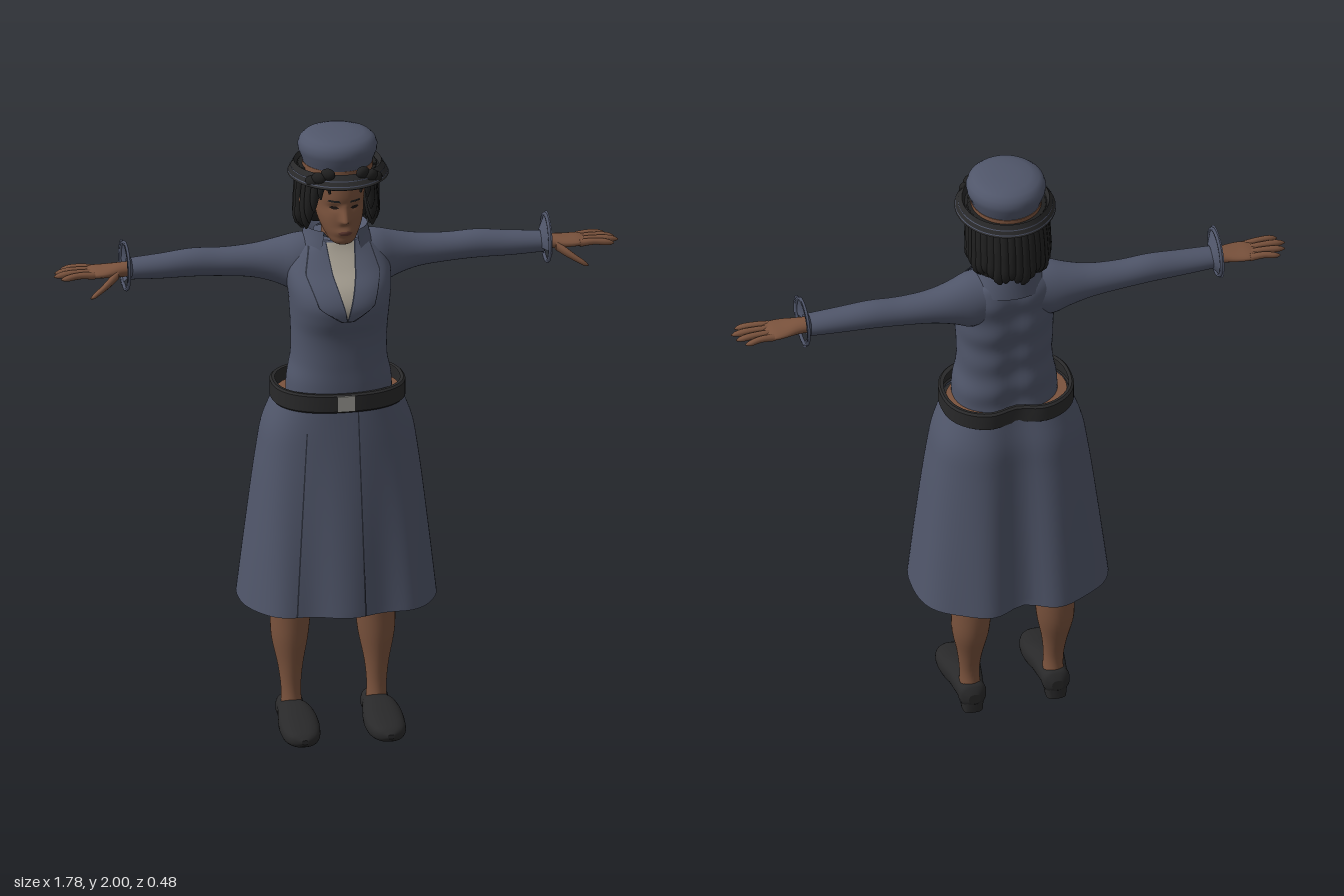
import * as THREE from 'three';
import { toCreasedNormals } from 'three/addons/utils/BufferGeometryUtils.js';

const paint = (name, color, side = THREE.FrontSide) => {
  const m = new THREE.MeshStandardMaterial({ color, side });
  m.name = name;
  return m;
};

// Loft through rows [t, a0, a1, b0, b1]: the bounds of each oval section at height t.
// axis 'y': a = x, b = z.  axis 'x': a = z, b = y.  axis 'z': a = y, b = x.
function loft(rows, { axis = 'y', n = 32, steps = 0, p = 2, arc = null, warp = null, caps = true } = {}) {
  let list = rows;
  const curve = steps ? new THREE.CubicInterpolant(rows.map(r => r[0]), rows.flatMap(r => r.slice(1)), 4) : null;
  const at = t => [t, ...curve.evaluate(t)];
  if (steps) {
    const t0 = rows[0][0], t1 = rows[rows.length - 1][0];
    list = Array.from({ length: steps + 1 }, (_, i) => at(t0 + (t1 - t0) * i / steps));
  }
  const pos = [], idx = [];
  const put = (a, t, b) => {
    if (warp) b = warp(a, t, b);
    pos.push(...(axis === 'y' ? [a, t, b] : axis === 'x' ? [t, b, a] : [b, a, t]));
  };
  const ring = ([t, a0, a1, b0, b1]) => {
    for (let i = 0; i <= n; i++) {
      const [s, e] = arc || [0, 360];
      const q = (s + (e - s) * (arc ? i : i % n) / n) * Math.PI / 180;
      const c = Math.cos(q), d = Math.sin(q), f = 2 / p;
      put((a0 + a1) / 2 + (a1 - a0) / 2 * Math.sign(c) * Math.abs(c) ** f, t,
        (b0 + b1) / 2 + (b1 - b0) / 2 * Math.sign(d) * Math.abs(d) ** f);
    }
  };
  list.forEach(ring);
  const w = n + 1;
  for (let j = 0; j < list.length - 1; j++) for (let i = 0; i < n; i++) {
    const a = j * w + i, nx = arc ? a + 1 : j * w + (i + 1) % n;
    idx.push(a, a + w, nx, nx, a + w, nx + w);
  }
  if (caps && !arc) [list[0], list[list.length - 1]].forEach((r, k) => {
    const s = pos.length / 3;
    ring(r);
    put((r[1] + r[2]) / 2, r[0], (r[3] + r[4]) / 2);
    for (let i = 0; i < n; i++) idx.push(s + n + 1, ...(k ? [s + i + 1, s + i] : [s + i, s + i + 1]));
  });
  let g = new THREE.BufferGeometry();
  g.setAttribute('position', new THREE.Float32BufferAttribute(pos, 3));
  g.setIndex(idx);
  g.computeVertexNormals();
  if (!steps) g = toCreasedNormals(g, 0.6);
  // depth of the front surface, for laying thin plates on it
  g.userData.front = (x, y) => {
    const [, a0, a1, b0, b1] = at(y);
    const u = Math.min(1, Math.abs((x - (a0 + a1) / 2) / ((a1 - a0) / 2)));
    const z = (b0 + b1) / 2 + (b1 - b0) / 2 * (1 - u ** p) ** (1 / p);
    return warp ? warp(x, y, z) : z;
  };
  return g;
}

// Thin plate on a front surface; edges are rows [y, xLeft, xRight].
function plate(base, edges, lift, rows = 24, cols = 8) {
  const g = new THREE.PlaneGeometry(1, 1, cols, rows), P = g.attributes.position;
  const y0 = edges[0][0], y1 = edges[edges.length - 1][0];
  for (let i = 0; i < P.count; i++) {
    const y = y0 + (y1 - y0) * (P.getY(i) + 0.5);
    let k = 0;
    while (k < edges.length - 2 && y > edges[k + 1][0]) k++;
    const A = edges[k], B = edges[k + 1], s = (y - A[0]) / (B[0] - A[0]);
    const l = A[1] + (B[1] - A[1]) * s, r = A[2] + (B[2] - A[2]) * s;
    const x = l + (r - l) * (P.getX(i) + 0.5);
    P.setXYZ(i, x, y, base.userData.front(x, y) + lift);
  }
  g.computeVertexNormals();
  return g;
}

function mirrored(src) {
  const g = src.index ? src.toNonIndexed() : src.clone();
  for (const key of ['position', 'normal']) {
    const A = g.attributes[key];
    for (let i = 0; i < A.count; i += 3) {
      const t = [0, 2, 1].map(k => [-A.getX(i + k), A.getY(i + k), A.getZ(i + k)]);
      t.forEach((v, k) => A.setXYZ(i + k, ...v));
    }
  }
  return g;
}

const sym = rows => rows.map(([y, w, b, f]) => [y, -w, w, b, f]);
const path = rows => rows.map(([t, a, b, r]) => [t, a - r, a + r, b - r, b + r]);

export function createModel() {
  const model = new THREE.Group();
  const cloth = paint('blue grey cloth', 0x50566a, THREE.DoubleSide);
  const seam = paint('dark seam', 0x2c303c, THREE.DoubleSide);
  const skin = paint('brown skin', 0x7b533d);
  const lip = paint('lip', 0x5e3830);
  const hair = paint('black hair', 0x1f1f1f, THREE.DoubleSide);
  const leather = paint('black leather', 0x29292a, THREE.DoubleSide);
  const shirt = paint('pale shirt', 0xa69f92, THREE.DoubleSide);
  const metal = paint('buckle metal', 0x9a9994);
  const eye = paint('dark eye', 0x1c1512);
  const add = (name, g, m) => {
    const mesh = new THREE.Mesh(g, m);
    mesh.name = name;
    model.add(mesh);
  };
  const pair = (name, g, m) => { add(name + 'Left', g, m); add(name + 'Right', mirrored(g), m); };

  // Jacket body
  const torso = loft(sym([[1.13, .165, -.1, .155], [1.2, .163, -.1, .155], [1.26, .151, -.1, .154], [1.36, .15, -.1, .16],
    [1.42, .154, -.108, .178], [1.47, .158, -.11, .184], [1.52, .163, -.113, .16], [1.57, .16, -.115, .11],
    [1.62, .13, -.112, .07], [1.65, .085, -.1, .055]]), {
    n: 64, steps: 44, p: 2.3,
    warp: (x, y, z) => z < 0 ? z + .012 * Math.exp(-((x / .04) ** 2)) + .003 * Math.sin(y * 55 + x * 9) : z
  });
  add('jacket', torso, cloth);
  add('shirtFront', plate(torso, [[1.43, -.004, .004], [1.56, -.042, .042], [1.645, -.05, .05]], .004), shirt);
  pair('lapelEdge', plate(torso, [[1.425, -.002, .02], [1.47, .008, .088], [1.56, .034, .119], [1.648, .044, .094]], .005), seam);
  pair('lapel', plate(torso, [[1.428, .001, .016], [1.47, .012, .084], [1.56, .038, .115], [1.648, .048, .09]], .009), cloth);
  add('collar', loft(sym([[1.6, .13, -.122, .09], [1.65, .105, -.116, .078], [1.682, .098, -.112, .072], [1.66, .07, -.09, .06]]),
    { n: 40, arc: [122, 418] }), cloth);

  // Sleeves and turned cuffs
  pair('sleeve', loft([[.07, -.1, .05, 1.48, 1.655], [.13, -.103, .05, 1.465, 1.65], [.18, -.1, .03, 1.488, 1.636],
    [.25, -.094, .012, 1.51, 1.62], [.35, -.088, .004, 1.522, 1.613], [.45, -.084, .004, 1.528, 1.617],
    [.55, -.078, .006, 1.53, 1.608], [.655, -.073, .006, 1.535, 1.6]], { axis: 'x', steps: 30 }), cloth);
  pair('cuff', loft([[.645, -.07, .005, 1.535, 1.605], [.662, -.095, .04, 1.515, 1.645], [.67, -.112, .056, 1.498, 1.664]],
    { axis: 'x', arc: [-20, 250] }), cloth);
  pair('cuffLoop', new THREE.TorusGeometry(.074, .006, 6, 32).rotateY(Math.PI / 2).translate(.664, 1.58, -.028), cloth);

  // Hands
  pair('palm', loft([[.63, -.06, -.006, 1.543, 1.592], [.68, -.062, .002, 1.546, 1.59], [.73, -.075, .016, 1.55, 1.584],
    [.77, -.078, .014, 1.553, 1.58], [.79, -.07, .005, 1.558, 1.574]], { axis: 'x', n: 20, steps: 12 }), skin);
  [.86, .882, .89, .872].forEach((tip, i) => {
    const z = -.066 + i * .023, s = (i - 1.5) * .006;
    pair('finger' + (i + 1), loft(path([[.765, z, 1.566, .012], [.81, z + s * .4, 1.57, .0105], [tip - .012, z + s, 1.565, .008],
      [tip, z + s, 1.563, .002]]), { axis: 'x', n: 10, steps: 10 }), skin);
  });
  pair('thumb', loft(path([[.69, -.005, 1.562, .016], [.72, .017, 1.545, .015], [.75, .034, 1.527, .011],
    [.775, .042, 1.512, .008], [.785, .045, 1.507, .002]]), { axis: 'x', n: 10, steps: 12 }), skin);

  // Belt, buckle and the hips inside
  const spine = (x, y, z) => z < 0 ? z + .03 * Math.exp(-((x / .06) ** 2)) : z;
  add('hips', loft(sym([[.85, .19, -.13, .13], [1.0, .2, -.14, .14], [1.145, .192, -.135, .145]]),
    { steps: 8, warp: spine }), skin);
  add('belt', loft(sym([[1.12, .19, -.135, .15], [1.118, .204, -.15, .166], [1.124, .21, -.157, .172],
    [1.174, .21, -.157, .172], [1.18, .204, -.15, .166], [1.178, .194, -.14, .152]]),
  { n: 64, p: 2.4, warp: spine, caps: false }), leather);
  add('buckle', new THREE.BoxGeometry(.056, .05, .012).translate(-.003, 1.15, .171), metal);

  // Skirt with folds that grow towards the hem
  const skirt = loft(sym([[.46, .31, -.246, .225], [.7, .282, -.217, .2], [.95, .25, -.184, .173], [1.04, .234, -.172, .164],
    [1.13, .2, -.148, .155]]), {
    n: 96, steps: 28, p: 2.5, caps: false,
    warp: (x, y, z) => {
      const k = Math.max(0, (1.13 - y) / .67);
      return z < 0 ? z + (.02 + k * .018) * Math.exp(-((x / .07) ** 2)) + k * .006 * Math.cos(x * 30) * Math.min(1, -z * 8)
        : z + k * .012 * Math.cos(x * 28) * Math.min(1, z * 8);
    }
  });
  add('skirt', skirt, cloth);
  add('skirtFrontSeam', plate(skirt, [[.462, .046, .051], [1.12, .036, .04]], .004, 28, 1), seam);
  add('skirtSideSeam', plate(skirt, [[.462, -.166, -.161], [1.05, -.124, -.12]], .004, 28, 1), seam);

  // Legs and shoes
  pair('leg', loft([[.06, .1, .166, -.1, -.01], [.13, .104, .166, -.092, -.02], [.2, .098, .174, -.108, -.016],
    [.3, .079, .194, -.138, -.006], [.38, .071, .197, -.143, -.003], [.46, .068, .199, -.138, .002],
    [.6, .04, .2, -.12, .05], [.9, .01, .2, -.13, .09]], { steps: 36 }), skin);
  pair('shoe', loft([[-.116, .035, .07, .115, .152], [-.108, .022, .09, .1, .168], [-.06, .024, .092, .09, .178],
    [0, .022, .104, .08, .187], [.05, .014, .098, .072, .195], [.1, .01, .083, .072, .196], [.15, .012, .068, .083, .188],
    [.18, .02, .057, .103, .168], [.192, .032, .046, .125, .146]], { axis: 'z', n: 28, steps: 32, p: 2.5 }), leather);
  pair('shoeHeel', loft([[0, .102, .166, -.114, -.055], [.035, .098, .17, -.114, -.04]], { n: 24, p: 3 }), leather);

  // Neck, head with nose and lips, and ears
  add('neck', loft(sym([[1.58, .06, -.08, .05], [1.63, .048, -.07, .04], [1.7, .048, -.07, .05]]), { steps: 8 }), skin);
  const head = loft(sym([[1.655, .018, .06, .108], [1.665, .035, .03, .128], [1.69, .052, -.01, .136], [1.72, .066, -.05, .138],
    [1.75, .073, -.07, .138], [1.78, .076, -.09, .135], [1.82, .079, -.1, .14], [1.89, .085, -.1, .135]]), {
    n: 88, steps: 52, p: 2.2,
    warp: (x, y, z) => {
      if (z < .05) return z;
      const bump = (cx, cy, sx, sy) => Math.exp(-(((x - cx) / sx) ** 2) - ((y - cy) / sy) ** 2);
      const ridge = y > 1.745 ? Math.max(0, 1 - (y - 1.745) / .055) : Math.max(0, 1 - (1.745 - y) / .016);
      return z + .028 * ridge * Math.exp(-((x / .013) ** 2)) + .008 * bump(0, 1.706, .025, .011)
        - .007 * (bump(.033, 1.787, .018, .011) + bump(-.033, 1.787, .018, .011));
    }
  });
  add('head', head, skin);
  pair('eye', plate(head, [[1.781, .027, .037], [1.786, .018, .048], [1.791, .026, .04]], .003, 4, 6), eye);
  pair('eyebrow', plate(head, [[1.806, .014, .052], [1.813, .018, .048]], .003, 2, 8), hair);
  add('lips', plate(head, [[1.697, -.012, .012], [1.705, -.024, .024], [1.712, -.01, .01]], .002, 6, 10), lip);
  pair('ear', new THREE.SphereGeometry(1, 14, 10).scale(.014, .034, .02).rotateZ(-.2).translate(.112, 1.775, .012), skin);

  // Bobbed hair: inner shell, hanging strands, loose locks by the face
  add('hairShell', loft(sym([[1.685, .1, -.12, -.02], [1.72, .118, -.135, .015], [1.78, .115, -.135, .03], [1.89, .112, -.12, .07]]),
    { steps: 14 }), hair);
  for (let i = 0; i < 21; i++) {
    const q = Math.PI * (1 + (i - 10) / 18), s = Math.sin(i * 4.7);
    const x = Math.sin(q - Math.PI), z = Math.cos(q);
    const end = 1.672 + .012 * s + .014 * Math.abs(x);
    add('hairStrand' + (i + 1), loft(path([[end, x * .106, -.018 + z * .112, .007], [end + .02, x * .115, -.018 + z * .12, .016],
      [1.77, x * .115, -.015 + z * .122, .02], [1.84, x * .112, -.005 + z * .118, .02], [1.89, x * .108, z * .11, .016]]),
    { n: 10, steps: 12 }), hair);
  }
  [[.1, .04, 1.69, .017], [.096, .066, 1.72, .014], [.086, .095, 1.765, .012], [.07, .122, 1.815, .011], [.045, .14, 1.838, .01]]
    .forEach(([x, z, end, r], i) => pair('lock' + (i + 1), loft(path([[end, x + .004, z, .003], [end + .03, x + .004, z, r],
      [1.885, x - .008, z - .002, r * 1.4]]), { n: 10, steps: 10 }), hair));

  // Hat: crown, inner band, flared rim with trim lines, and front bow
  add('hatCrown', loft(sym([[1.9, .108, -.108, .122], [1.915, .112, -.112, .126], [1.94, .122, -.12, .134], [1.957, .124, -.121, .135],
    [1.975, .118, -.114, .128], [1.988, .104, -.1, .114], [1.996, .08, -.076, .09], [2, .04, -.036, .05]]), { n: 48 }), cloth);
  add('hatInnerBand', loft(sym([[1.87, .11, -.112, .125], [1.903, .11, -.111, .124]]), { n: 48 }), skin);
  add('hatRim', loft(sym([[1.872, .11, -.11, .125], [1.862, .15, -.146, .18], [1.866, .157, -.152, .186], [1.89, .142, -.138, .163],
    [1.903, .136, -.132, .15], [1.885, .128, -.124, .142], [1.876, .112, -.112, .127]]), { n: 56, caps: false }), leather);
  for (const [y, w, b, f] of [[1.872, .155, -.151, .182], [1.886, .147, -.143, .17]])
    add('hatTrim', loft(sym([[y, w, b, f], [y + .003, w - .001, b + .001, f - .001]]), { n: 56, caps: false }), cloth);
  [[.055, 1.905, .142], [.083, 1.892, .135], [.1, 1.878, .122]].forEach(([x, y, z], i) =>
    pair('hatBow' + (i + 1), new THREE.SphereGeometry(1, 14, 10).scale(.024, .019, .016).rotateY(.6).translate(x, y, z), hair));

  return model;
}
